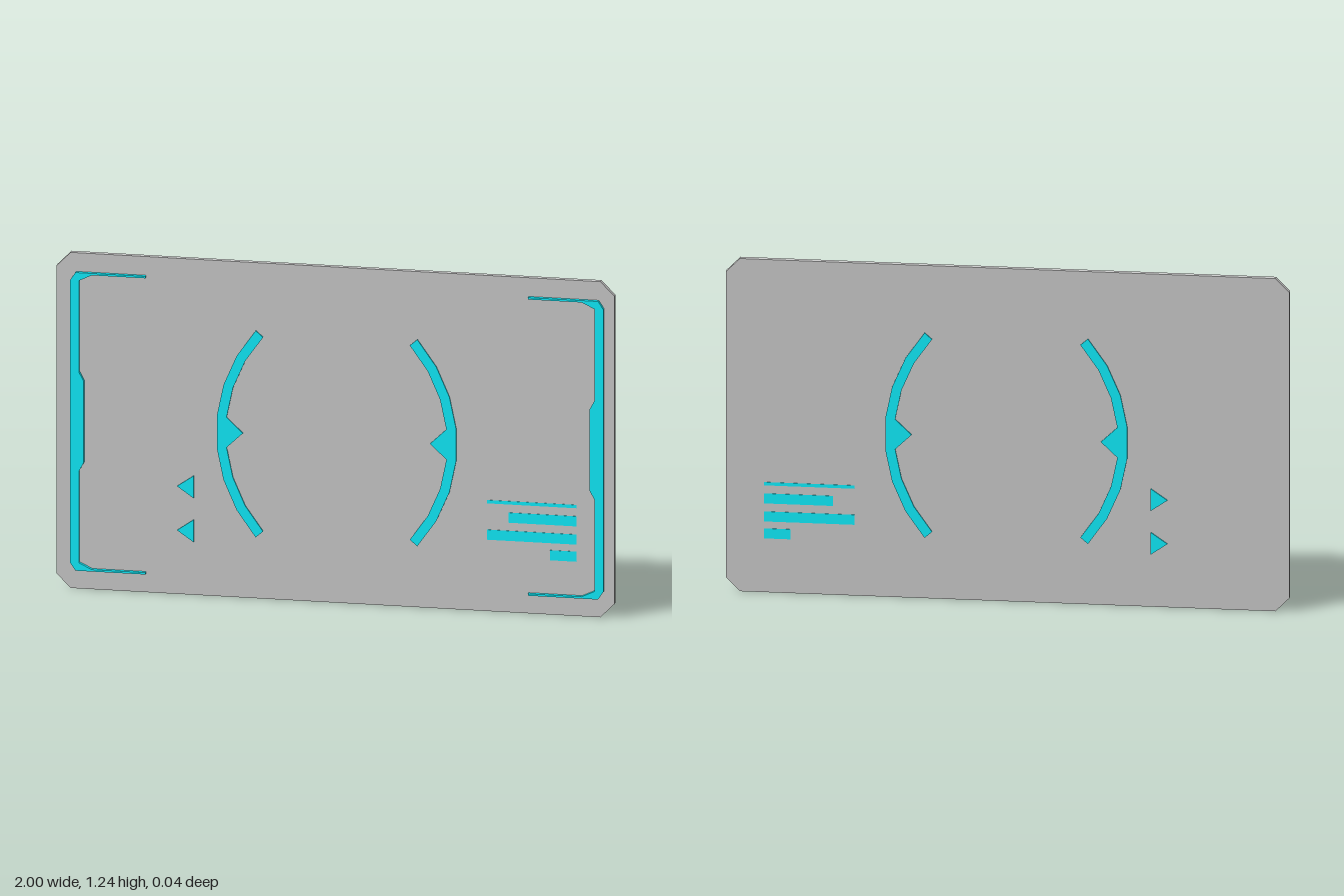
import * as THREE from 'three';

const grey = new THREE.MeshStandardMaterial({ color: 0xcccccc, flatShading: true });
const cyan = new THREE.MeshStandardMaterial({ color: 0x0ff0ff, flatShading: true });
const MID_Y = 0.618;

// Flat slab with the given outline, from z0 (back) to z1 (front)
function slab(name, points, z0, z1, material) {
  const shape = new THREE.Shape(points.map(([x, y]) => new THREE.Vector2(x, y)));
  const geometry = new THREE.ExtrudeGeometry(shape, { depth: z1 - z0, bevelEnabled: false });
  geometry.translate(0, 0, z0);
  const mesh = new THREE.Mesh(geometry, material);
  mesh.name = name;
  return mesh;
}

// Adds the lower mirror image of an upper half outline
const mirrorY = (half) => [...half, ...half.map(([x, y]) => [x, -y]).reverse()];

export function createModel() {
  const model = new THREE.Group();
  model.name = 'displayPanel';

  // Backing plate with clipped corners
  const plate = slab('plate', mirrorY([[-1, 0.567], [-0.95, 0.618], [0.95, 0.618], [1, 0.567]]),
    -0.014, 0.006, grey);
  plate.position.y = MID_Y;
  model.add(plate);

  // Side bracket outline: inner edge of the upper half, then the outer edge
  const inner = [[0.907, 0.15], [0.924, 0.182], [0.924, 0.52], [0.878, 0.542], [0.686, 0.542]];
  const outer = [[0.686, 0.549], [0.937, 0.549], [0.956, 0.52]];
  const bracket = mirrorY([...inner, ...outer]);

  // Curved gauge: seven straight segments with a pointer on the inside
  const arc = [];
  const half = THREE.MathUtils.degToRad(41);
  const at = (r, i) => {
    const a = -half + (2 * half * i) / 7;
    return [-0.148 + r * Math.cos(a), r * Math.sin(a)];
  };
  for (let i = 0; i <= 7; i++) arc.push(at(0.58, i));
  for (let i = 7; i >= 0; i--) {
    arc.push(at(0.545, i));
    if (i === 4) arc.push([0.336, 0]);
  }

  for (const [side, s] of [['left', 1], ['right', -1]]) {
    const flip = (pts) => pts.map(([x, y]) => [s * x, y]);
    const frame = slab(side + 'Bracket', flip(bracket), 0.006, 0.02, cyan);
    frame.position.set(0.007, MID_Y, 0);
    const gauge = slab(side + 'Gauge', flip(arc), -0.0195, 0.0115, cyan);
    gauge.position.set(0.0045, 0.606, 0);
    model.add(frame, gauge);
  }

  // Small arrow markers through the plate
  for (const y of [0.398, 0.236]) {
    model.add(slab('arrowMarker', [[-0.567, y], [-0.508, y - 0.041], [-0.508, y + 0.041]],
      -0.0195, 0.0115, cyan));
  }

  // Readout bars, nearly flush on both faces: left end, bottom, top
  for (const [x, y0, y1] of [[0.544, 0.397, 0.409], [0.62, 0.33, 0.367],
    [0.544, 0.263, 0.3], [0.77, 0.2, 0.237]]) {
    model.add(slab('readoutBar', [[x, y0], [0.864, y0], [0.864, y1], [x, y1]], -0.0155, 0.0075, cyan));
  }
  return model;
}
